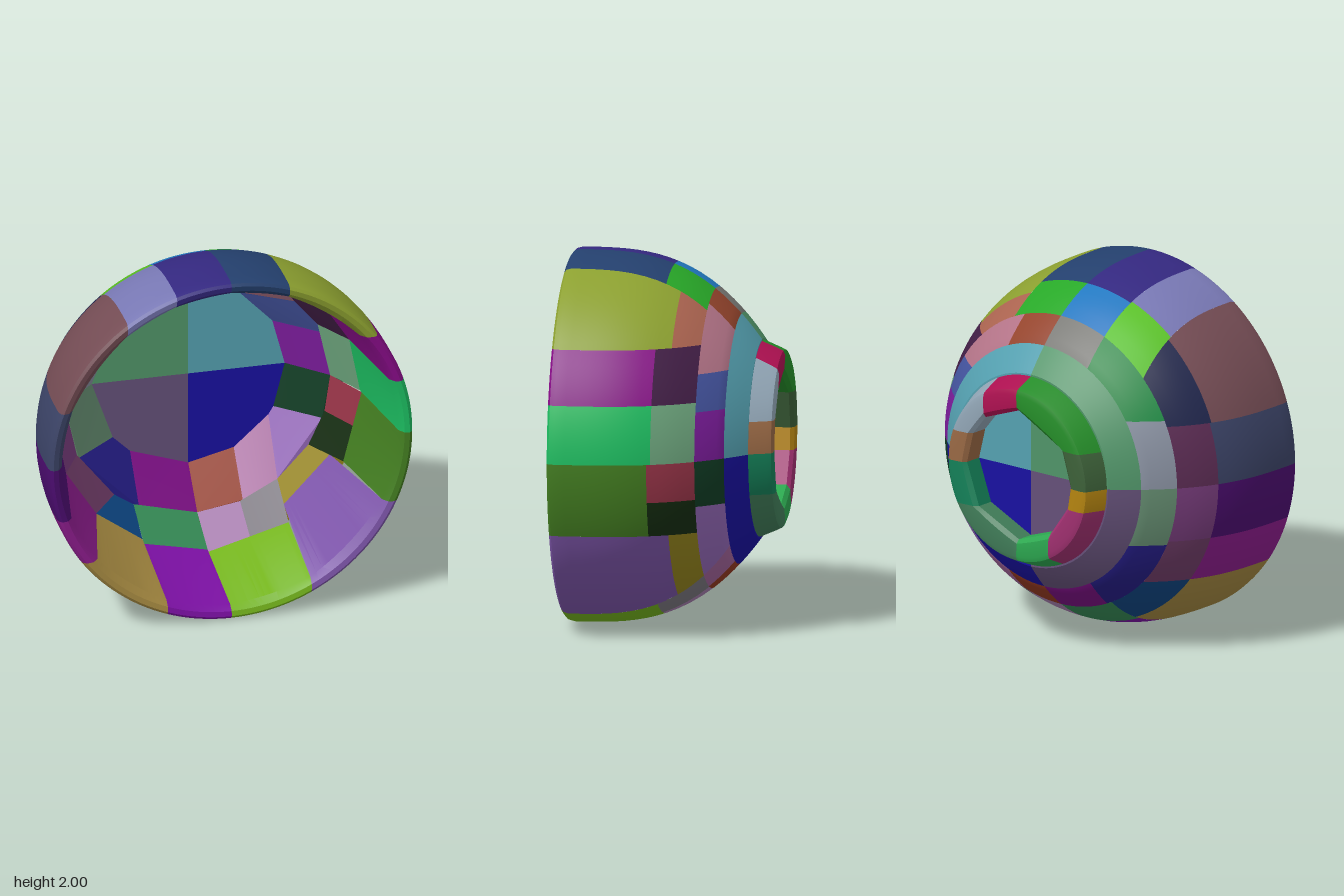
import * as THREE from 'three';
import { toCreasedNormals } from 'three/addons/utils/BufferGeometryUtils.js';

// Bowl lying on its side: axis along z, mouth to +z, foot to -z.
const outer = z => 1 - 0.537 * Math.pow(Math.max(0, 0.5 - z), 2.84);
const INNER = [[0.53, 0.925], [0.02, 0.84], [-0.2, 0.73], [-0.4, 0.53]];
function inner(z) {
  for (let i = 0; i < 3; i++) {
    const [z0, r0] = INNER[i], [z1, r1] = INNER[i + 1];
    if (z >= z1) return r0 + (r1 - r0) * (z0 - z) / (z0 - z1);
  }
  return 0.53;
}

// A cut is a straight plane: the coordinate that is not +-1 is held constant.
// Angles run clockwise from the top, seen from the front.
function cutAngle([x, y], r) {
  const free = k => Math.sqrt(Math.max(0, r * r - k * k));
  if (r === 0) r = 1;
  const a = Math.abs(x) === 1 ? Math.atan2(x * free(y), y) : Math.atan2(x, y * free(x));
  return a < -1e-6 ? a + 2 * Math.PI : Math.max(0, a);
}

// Sweep a closed profile of [r, z, flat] between two cuts;
// flat = 1 makes that line a straight chord rather than an arc.
function tileGeometry(profile, start, end, segs = 14) {
  const lines = profile.map(([r, z, flat]) => {
    const a0 = cutAngle(start, r || 1);
    let a1 = cutAngle(end, r || 1);
    if (a1 <= a0) a1 += 2 * Math.PI;
    const line = [];
    for (let j = 0; j <= segs; j++) {
      const t = j / segs, a = a0 + (a1 - a0) * t;
      const cx = r * (Math.sin(a0) * (1 - t) + Math.sin(a1) * t);
      const cy = r * (Math.cos(a0) * (1 - t) + Math.cos(a1) * t);
      const x = r * Math.sin(a), y = r * Math.cos(a);
      line.push([x + (cx - x) * flat, y + (cy - y) * flat, z]);
    }
    return line;
  });
  const pos = [];
  lines.forEach((p, i) => {
    const q = lines[(i + 1) % lines.length];
    for (let j = 0; j < segs; j++) {
      pos.push(...p[j], ...q[j], ...q[j + 1], ...p[j], ...q[j + 1], ...p[j + 1]);
    }
  });
  const g = new THREE.BufferGeometry();
  g.setAttribute('position', new THREE.Float32BufferAttribute(pos, 3));
  return toCreasedNormals(g, 0.55);
}

// Outer curve sampled from back to front
function outerLine(zBack, zFront, n) {
  return Array.from({ length: n + 1 }, (_, i) => {
    const z = zBack + (zFront - zBack) * i / n;
    return [outer(z), z, 0];
  });
}

// Profiles of the rings
const rimProfile = z => [
  ...outerLine(z, 0.53, 9),
  [0.993, 0.558, 0], [0.978, 0.57, 0], [0.95, 0.565, 0], [0.925, 0.53, 0.3],
  [inner(z), z, 1],
];
const upperProfile = z => [...outerLine(-0.2, z, 4), [inner(z), z, 1], [inner(-0.2), -0.2, 1]];
const lowerProfile = () => [...outerLine(-0.34, -0.2, 4), [inner(-0.2), -0.2, 1], [0.53, -0.4, 1]];
const floorProfile = () => [
  [0, -0.45, 0], ...outerLine(-0.45, -0.34, 4), [0.61, -0.37, 0], [0.6, -0.4, 0], [0, -0.4, 0],
];
const footProfile = () => [
  [0.45, -0.575, 0], [0.475, -0.565, 0], [0.488, -0.54, 0], [0.53, -0.44, 0],
  [0.36, -0.44, 1], [0.36, -0.55, 1], [0.38, -0.57, 0.8],
];

// Tiles of each ring: start cut x, start cut y, colour, back/front edge z
const rimTiles = [
  [0, 1, 0x24406e, 0.02], [0.32, 1, 0x8ca030, -0.06], [1, 0.59, 0x880c88, 0.02],
  [1, 0.31, 0x1cbc60, 0.02], [1, 0, 0x427c20, 0.04], [1, -0.4, 0x7c54a8, -0.06],
  [0.44, -1, 0x74b41c, 0.05], [0, -1, 0x7c10a4, 0.03], [-0.35, -1, 0xa48840, 0],
  [-1, -0.57, 0x8c1c8c, 0], [-1, -0.31, 0x4c0c70, 0], [-1, 0, 0x3c4468, 0],
  [-1, 0.33, 0x744c54, 0.01], [-0.57, 1, 0x7878b4, 0.03], [-0.3, 1, 0x342880, 0.02],
];
const upperTiles = [
  [0, 1, 0x28a828, 0.02], [0.32, 1, 0xac6450, -0.06], [1, 0.59, 0x421e46, 0.02],
  [1, 0.31, 0x6ca47c, 0.02], [1, 0, 0x983448, 0.04], [1, -0.21, 0x142c10, 0.04],
  [1, -0.4, 0x94841c, -0.06], [0.44, -1, 0x7c7880, 0.05], [0.235, -1, 0xa880b0, 0.05],
  [0, -1, 0x348854, 0.03], [-0.35, -1, 0x0c4480, 0], [-1, -0.57, 0x703c68, 0],
  [-1, -0.31, 0x783c7c, 0], [-1, 0, 0x5c2c54, 0], [-1, 0.33, 0x20264c, 0.01],
  [-0.57, 1, 0x58c020, 0.03], [-0.3, 1, 0x2078c0, 0.02],
];
const lowerTiles = [
  [0, 1, 0x94442c], [0.25, 1, 0xb47488], [1, 0.45, 0x4454a0], [1, 0.26, 0x7c1c9c],
  [1, 0, 0x103c24], [1, -0.25, 0x9468b8], [0.44, -1, 0xa4649c], [0.25, -1, 0x943820],
  [0, -1, 0x780c80], [-0.32, -1, 0x241c84], [-1, -0.33, 0x648c70], [-1, 0, 0x8890a0],
  [-1, 0.36, 0x108840], [-0.3, 1, 0x787874],
];
const floorTiles = [[0, 1, 0x54a0b0], [1, 0, 0x1810a0], [0, -1, 0x645078], [-1, 0, 0x509468]];
const footTiles = [
  [0, 1, 0xac1050], [0.23, 1, 0x90a4b4], [1, 0.17, 0x986844], [1, 0, 0x148058],
  [1, -0.23, 0x407c58], [0, -1, 0x2ca850], [-0.22, -1, 0xa03070], [-1, -0.12, 0xb48410],
  [-1, 0, 0x3c6038], [-1, 0.2, 0x248c28],
];

function ring(name, tiles, profile, segs) {
  const group = new THREE.Group();
  group.name = name + 'Ring';
  tiles.forEach(([x, y, color, z], i) => {
    const next = tiles[(i + 1) % tiles.length];
    const mesh = new THREE.Mesh(
      tileGeometry(profile(z), [x, y], [next[0], next[1]], segs),
      new THREE.MeshStandardMaterial({ color }),
    );
    mesh.name = name + 'Tile' + (i + 1);
    group.add(mesh);
  });
  return group;
}

export function createModel() {
  const model = new THREE.Group();
  model.name = 'tiledBowl';
  model.add(
    ring('rim', rimTiles, rimProfile),
    ring('upperWall', upperTiles, upperProfile),
    ring('lowerWall', lowerTiles, lowerProfile),
    ring('floor', floorTiles, floorProfile, 24),
    ring('foot', footTiles, footProfile),
  );
  model.position.y = 1;
  return model;
}
